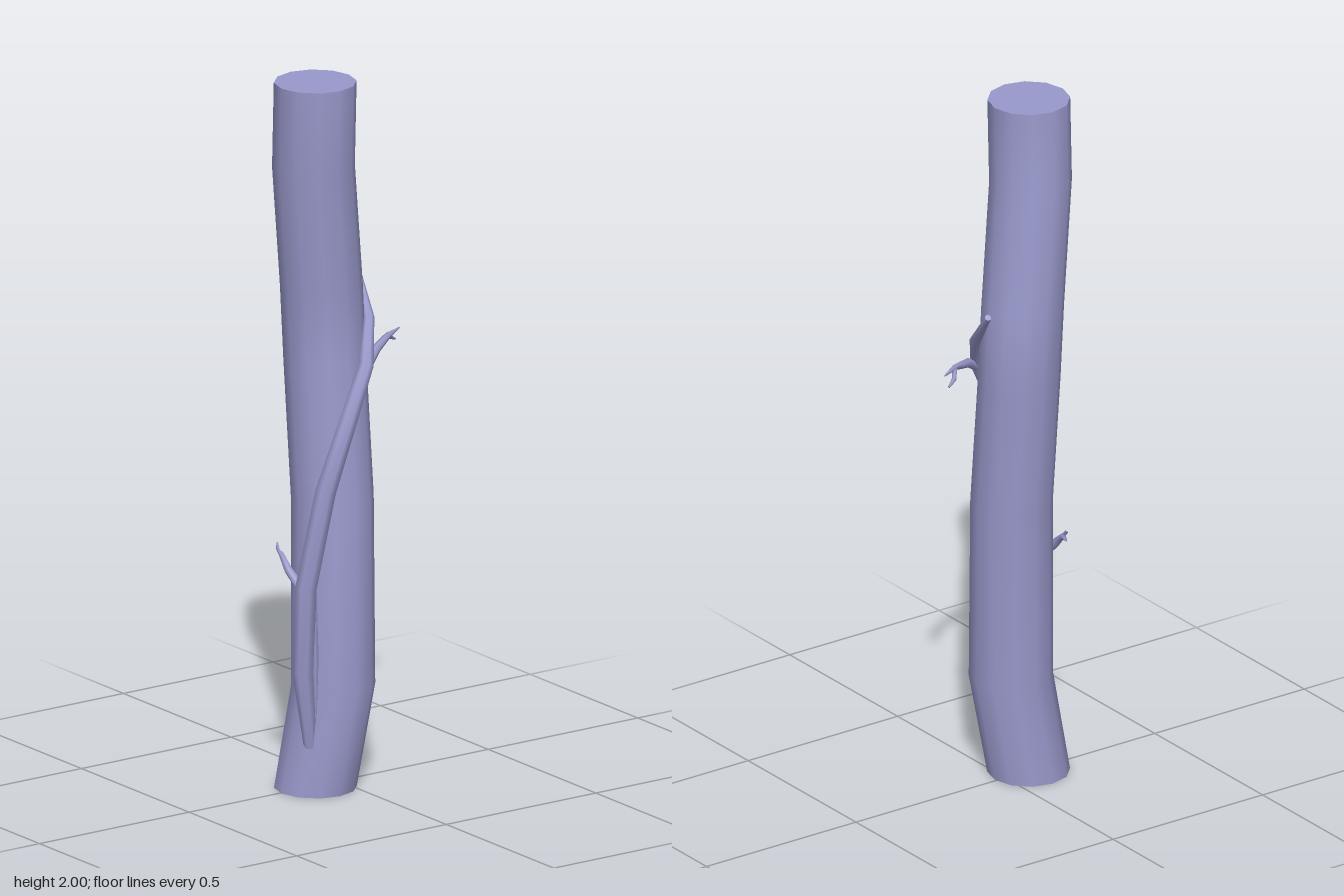
import * as THREE from 'three';

const bark = new THREE.MeshStandardMaterial({ color: 0x9999cc });
bark.name = 'lavender bark';

// Smooth tube through stations [x, y, z, radius], with flat end caps.
// Level rings stay horizontal; otherwise each ring is square to the path.
function limb(name, stations, sides, level = false) {
  const pts = stations.map(([x, y, z]) => new THREE.Vector3(x, y, z));
  const pos = [], index = [];
  const last = pts.length - 1;
  const rings = [];
  let side = null;
  pts.forEach((p, i) => {
    const t = level
      ? new THREE.Vector3(0, 1, 0)
      : pts[Math.min(i + 1, last)].clone().sub(pts[Math.max(i - 1, 0)]).normalize();
    // Carry the side direction along the path so the tube does not twist
    if (!side) side = Math.abs(t.x) > 0.8 ? new THREE.Vector3(0, 0, 1) : new THREE.Vector3(1, 0, 0);
    side = side.clone().addScaledVector(t, -side.dot(t)).normalize();
    const up = new THREE.Vector3().crossVectors(t, side);
    const ring = [];
    for (let k = 0; k < sides; k++) {
      const a = (k / sides) * Math.PI * 2;
      const v = p.clone()
        .addScaledVector(side, Math.cos(a) * stations[i][3])
        .addScaledVector(up, Math.sin(a) * stations[i][3]);
      ring.push(v);
      pos.push(v.x, v.y, v.z);
    }
    rings.push(ring);
  });
  for (let i = 0; i < last; i++) {
    for (let k = 0; k < sides; k++) {
      const a = i * sides + k, b = i * sides + (k + 1) % sides;
      index.push(a, b, b + sides, a, b + sides, a + sides);
    }
  }
  // Caps have their own vertices, which keeps their rims sharp
  [[rings[0], true], [rings[last], false]].forEach(([ring, flip]) => {
    const base = pos.length / 3;
    ring.forEach(v => pos.push(v.x, v.y, v.z));
    for (let k = 1; k < sides - 1; k++) {
      if (flip) index.push(base, base + k + 1, base + k);
      else index.push(base, base + k, base + k + 1);
    }
  });
  const geo = new THREE.BufferGeometry();
  geo.setAttribute('position', new THREE.Float32BufferAttribute(pos, 3));
  geo.setIndex(index);
  geo.computeVertexNormals();
  const mesh = new THREE.Mesh(geo, bark);
  mesh.name = name;
  return mesh;
}

export function createModel() {
  const group = new THREE.Group();
  group.name = 'trunkWithVine';

  // Gently swaying trunk
  group.add(limb('trunk', [
    [-0.082, 0, 0.006, 0.113],
    [-0.04, 0.29, 0.03, 0.115],
    [-0.032, 0.82, 0.015, 0.113],
    [-0.027, 1.2, -0.027, 0.113],
    [-0.037, 1.41, -0.029, 0.113],
    [-0.082, 1.76, -0.003, 0.113],
    [-0.082, 2, 0.005, 0.113],
  ], 12, true));

  // Vine climbing from the side across the front
  group.add(limb('vine', [
    [-0.145, 0.14, 0.07, 0.018],
    [-0.176, 0.36, 0.078, 0.029],
    [-0.17, 0.6, 0.085, 0.03],
    [-0.125, 0.87, 0.113, 0.029],
    [-0.06, 1.05, 0.122, 0.025],
    [0.02, 1.2, 0.1, 0.021],
    [0.075, 1.31, 0.035, 0.016],
    [0.11, 1.425, -0.072, 0.009],
  ], 7));

  // Thin root strand lying against the trunk
  group.add(limb('rootStrand', [
    [-0.14, 0.18, 0.087, 0.002],
    [-0.142, 0.4, 0.089, 0.01],
    [-0.158, 0.62, 0.09, 0.016],
  ], 6));

  // Upper twig with a forked tip
  group.add(limb('upperTwig', [
    [0.02, 1.195, 0.1, 0.015],
    [0.075, 1.23, 0.07, 0.013],
    [0.14, 1.248, 0.035, 0.009],
    [0.203, 1.25, 0.0, 0.002],
  ], 6));
  group.add(limb('upperTwigFork', [
    [0.15, 1.247, 0.028, 0.007],
    [0.17, 1.23, 0.002, 0.007],
    [0.195, 1.218, -0.009, 0.003],
  ], 5));

  // Lower twig curling around towards the back
  group.add(limb('lowerTwig', [
    [-0.175, 0.59, 0.075, 0.014],
    [-0.19, 0.64, 0.03, 0.012],
    [-0.185, 0.675, -0.01, 0.008],
    [-0.175, 0.675, -0.04, 0.003],
  ], 6));
  group.add(limb('lowerTwigFork', [
    [-0.187, 0.665, 0.0, 0.006],
    [-0.188, 0.69, -0.022, 0.005],
    [-0.18, 0.7, -0.035, 0.002],
  ], 5));

  return group;
}
